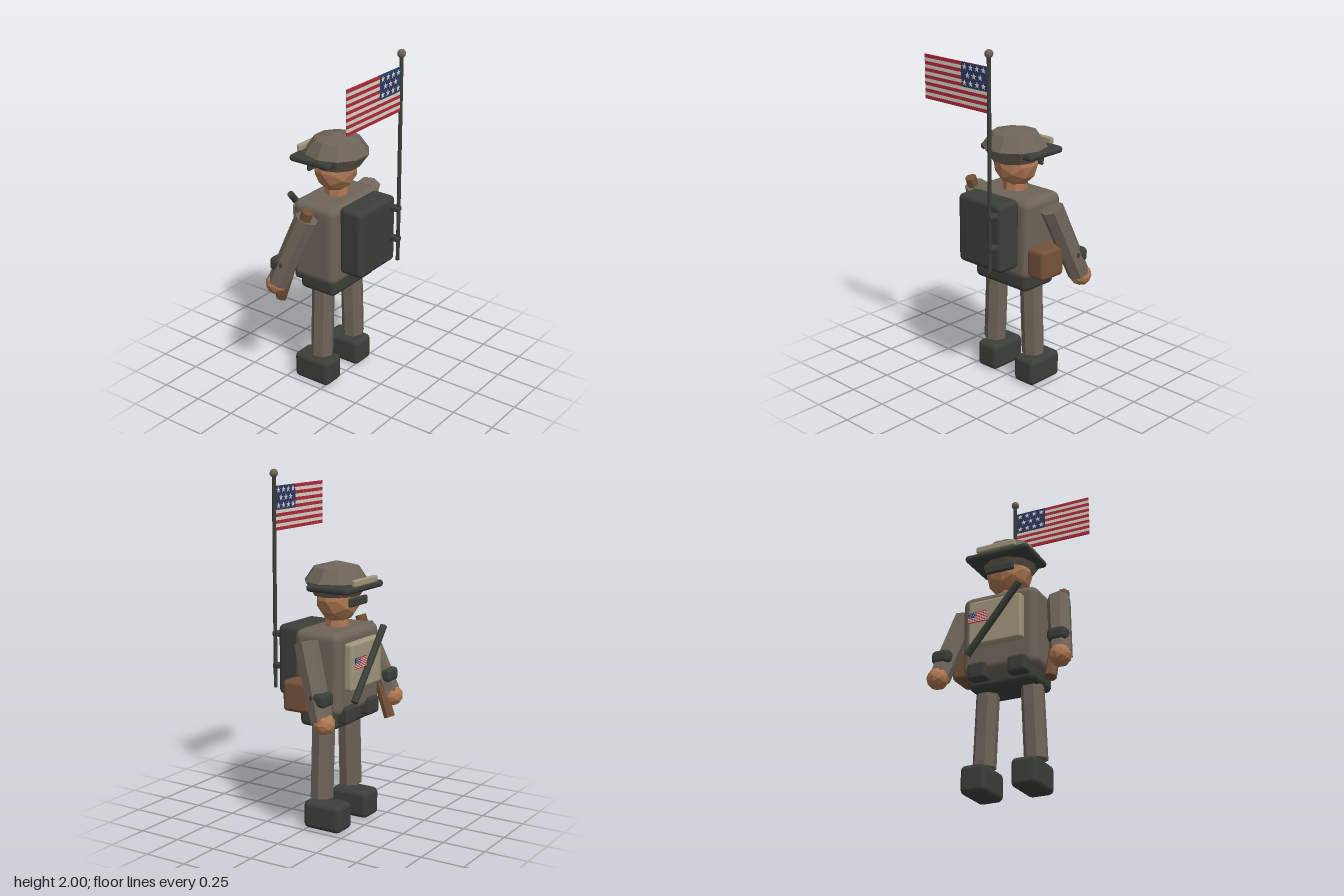
import * as THREE from 'three';
import { RoundedBoxGeometry } from 'three/addons/geometries/RoundedBoxGeometry.js';

const mat = (name, color, flat = false) => {
  const m = new THREE.MeshStandardMaterial({ color });
  m.name = name;
  m.flatShading = flat;
  return m;
};

export function createModel() {
  const root = new THREE.Group();
  root.name = 'flagBearer';

  const M = {
    cloth: mat('cloth', 0x6e6459, true),
    dark: mat('dark gear', 0x3b3f39),
    skin: mat('skin', 0xae7853, true),
    leather: mat('leather', 0x75513a),
    wood: mat('wood', 0x74503a, true),
    tan: mat('tan plate', 0xa2977d),
    red: mat('flag red', 0xb32a3a),
    white: mat('flag white', 0xdad3c6),
    navy: mat('flag navy', 0x2c3a66),
  };
  const clothSmooth = M.cloth.clone(); // same cloth colour, smooth normals for the torso
  clothSmooth.flatShading = false;

  const add = (name, geo, material, pos = [0, 0, 0], parent = root) => {
    const m = new THREE.Mesh(geo, material);
    m.name = name;
    m.position.set(...pos);
    parent.add(m);
    return m;
  };
  const box = (name, size, pos, material, radius = 0.02) =>
    add(name, new RoundedBoxGeometry(...size, 2, radius), material, pos);
  // Cylinder between two points
  const rod = (name, a, b, ra, rb, sides, material) => {
    const p = new THREE.Vector3(...a), q = new THREE.Vector3(...b);
    const dir = p.clone().sub(q);
    const m = add(name, new THREE.CylinderGeometry(ra, rb, dir.length(), sides), material);
    m.position.copy(p).add(q).multiplyScalar(0.5);
    m.quaternion.setFromUnitVectors(new THREE.Vector3(0, 1, 0), dir.normalize());
    return m;
  };

  // Body
  box('torso', [0.455, 0.475, 0.295], [0, 0.908, -0.065], clothSmooth, 0.05);
  box('belt', [0.4, 0.13, 0.24], [0, 0.66, -0.06], M.dark, 0.03);
  box('chestPlate', [0.32, 0.265, 0.055], [0, 0.95, -0.232], M.tan, 0.015);
  box('backpack', [0.334, 0.4, 0.155], [0, 0.945, 0.147], M.dark, 0.03);
  box('sidePouch', [0.125, 0.175, 0.175], [0.282, 0.795, -0.013], M.leather, 0.025);
  rod('chestStrap', [-0.155, 1.135, -0.273], [0.155, 0.76, -0.273], 0.02, 0.02, 8, M.dark);

  // Head, helmet and eyewear
  rod('neck', [0, 1.22, -0.065], [0, 1.12, -0.065], 0.065, 0.07, 8, M.skin);
  add('head', new THREE.IcosahedronGeometry(1, 1), M.skin, [0, 1.295, -0.07]).scale.set(0.132, 0.135, 0.12);
  add('helmet', new THREE.SphereGeometry(0.185, 10, 4), M.cloth, [0, 1.395, -0.062]).scale.y = 0.6;
  box('helmetBrim', [0.39, 0.04, 0.27], [0, 1.37, -0.115], M.dark, 0.018);
  box('helmetBand', [0.24, 0.04, 0.028], [0, 1.405, -0.241], M.tan, 0.01);
  box('glasses', [0.18, 0.05, 0.022], [0, 1.292, -0.198], M.dark, 0.01);

  // Mirrored limbs and belt pouches
  for (const s of [-1, 1]) {
    const side = s > 0 ? 'left' : 'right';
    box(side + 'Boot', [0.15, 0.16, 0.24], [s * 0.148, 0.085, -0.095], M.dark, 0.03);
    rod(side + 'Leg', [s * 0.135, 0.6, -0.06], [s * 0.153, 0.185, -0.06], 0.066, 0.066, 7, M.cloth);
    rod(side + 'Arm', [s * 0.293, 1.095, -0.05], [s * 0.367, 0.69, -0.2], 0.067, 0.063, 7, M.cloth);
    box(side + 'ElbowPad', [0.11, 0.08, 0.105], [s * 0.35, 0.81, -0.183], M.dark, 0.025);
    add(side + 'Hand', new THREE.IcosahedronGeometry(0.063, 1), M.skin, [s * 0.367, 0.683, -0.213]);
    box(side + 'BeltPouch', [0.11, 0.1, 0.09], [s * 0.12, 0.68, -0.195], M.dark, 0.018);
  }

  // Baton held in the right hand
  rod('baton', [-0.315, 1.147, -0.025], [-0.315, 0.565, -0.225], 0.033, 0.033, 7, M.wood);

  // Flag pole with its brackets
  rod('flagPole', [0.128, 1.98, 0.267], [0.128, 0.77, 0.267], 0.011, 0.011, 8, M.dark);
  add('poleFinial', new THREE.SphereGeometry(0.024, 8, 6), M.cloth, [0.128, 1.976, 0.267]);
  for (const y of [0.9, 1.083]) {
    box('poleBracket', [0.042, 0.032, 0.065], [0.128, y, 0.244], M.dark, 0.01);
  }

  // Flag: thirteen stripes, canton and stars visible on both faces
  const starShape = new THREE.Shape();
  for (let i = 0; i < 10; i++) {
    const a = Math.PI / 2 + (i * Math.PI) / 5, r = i % 2 ? 0.007 : 0.018;
    starShape[i ? 'lineTo' : 'moveTo'](r * Math.cos(a), r * Math.sin(a));
  }
  const starGeo = new THREE.ExtrudeGeometry(starShape, { depth: 0.014, bevelEnabled: false });
  starGeo.translate(0, 0, -0.007);
  const makeFlag = (name) => {
    const flag = new THREE.Group();
    flag.name = name;
    const w = 0.475, h = 0.247, stripe = h / 13;
    for (let i = 0; i < 13; i++) {
      add('stripe', new THREE.BoxGeometry(w, stripe, 0.007), i % 2 ? M.white : M.red,
        [0, h / 2 - (i + 0.5) * stripe, 0], flag);
    }
    const cw = 0.19, ch = stripe * 7, cx = w / 2 - cw / 2, cy = h / 2 - ch / 2;
    add('canton', new THREE.BoxGeometry(cw, ch, 0.0095), M.navy, [cx, cy, 0], flag);
    [4, 3, 4].forEach((n, row) => {
      for (let i = 0; i < n; i++) {
        add('star', starGeo, M.white, [cx + (i - (n - 1) / 2) * 0.047, cy + (1 - row) * 0.043, 0], flag);
      }
    });
    root.add(flag);
    return flag;
  };
  makeFlag('flag').position.set(-0.121, 1.782, 0.267);
  const patch = makeFlag('chestPatch');
  patch.position.set(0.092, 0.975, -0.275);
  patch.scale.set(0.245, 0.245, 0.6);

  return root;
}
